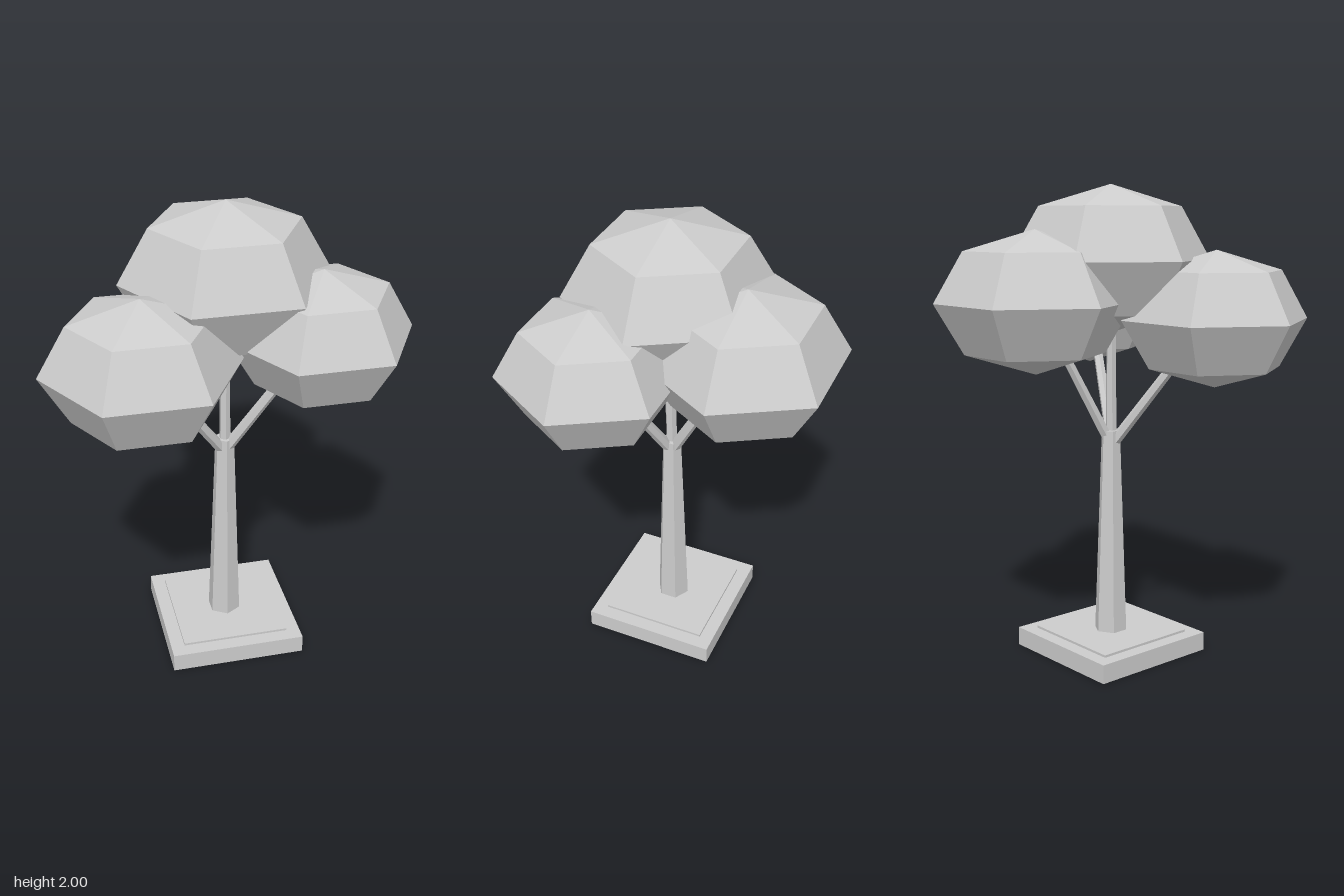
import * as THREE from 'three';

export function createModel() {
  const tree = new THREE.Group();
  tree.name = 'tree';
  const grey = new THREE.MeshStandardMaterial({ color: 0xcccccc, flatShading: true });
  grey.name = 'plain grey';
  const cx = 0.023, cz = 0.058; // axis of trunk and base

  function add(name, geometry, x, y, z) {
    const mesh = new THREE.Mesh(geometry, grey);
    mesh.name = name;
    mesh.position.set(x, y, z);
    tree.add(mesh);
    return mesh;
  }

  // Stepped square base
  add('baseSlab', new THREE.BoxGeometry(0.577, 0.08, 0.577), cx, 0.04, cz);
  add('soilPanel', new THREE.BoxGeometry(0.46, 0.012, 0.46), cx, 0.084, cz);

  // Tapered six-sided trunk
  add('trunk', new THREE.CylinderGeometry(0.041, 0.072, 0.885, 6), cx, 0.5325, cz);

  // Branches, each running from the trunk top into a crown
  const branches = [
    ['topBranch', [0.023, 0.93, 0.06], [0.023, 1.48, 0.058]],
    ['rightBranch', [0.005, 0.93, 0.066], [-0.25, 1.31, 0.205]],
    ['leftBranch', [0.038, 0.94, 0.07], [0.265, 1.33, 0.18]],
    ['backBranch', [0.03, 0.94, 0.045], [0.068, 1.34, -0.175]],
  ];
  const up = new THREE.Vector3(0, 1, 0);
  for (const [name, from, to] of branches) {
    const a = new THREE.Vector3(...from), b = new THREE.Vector3(...to);
    const mid = a.clone().add(b).multiplyScalar(0.5);
    const mesh = add(name, new THREE.CylinderGeometry(0.02, 0.024, a.distanceTo(b), 6), mid.x, mid.y, mid.z);
    mesh.quaternion.setFromUnitVectors(up, b.sub(a).normalize());
  }

  // Faceted leaf crowns: centre, radius, half height
  const crowns = [
    ['topCrown', 0.023, 1.695, 0.056, 0.425, 0.305],
    ['rightCrown', -0.352, 1.457, 0.296, 0.392, 0.28],
    ['leftCrown', 0.365, 1.492, 0.228, 0.375, 0.268],
    ['backCrown', 0.094, 1.527, -0.284, 0.408, 0.292],
  ];
  for (const [name, x, y, z, radius, half] of crowns) {
    const geometry = new THREE.SphereGeometry(radius, 6, 4).scale(1, half / radius, 1);
    add(name, geometry, x, y, z);
  }
  return tree;
}
